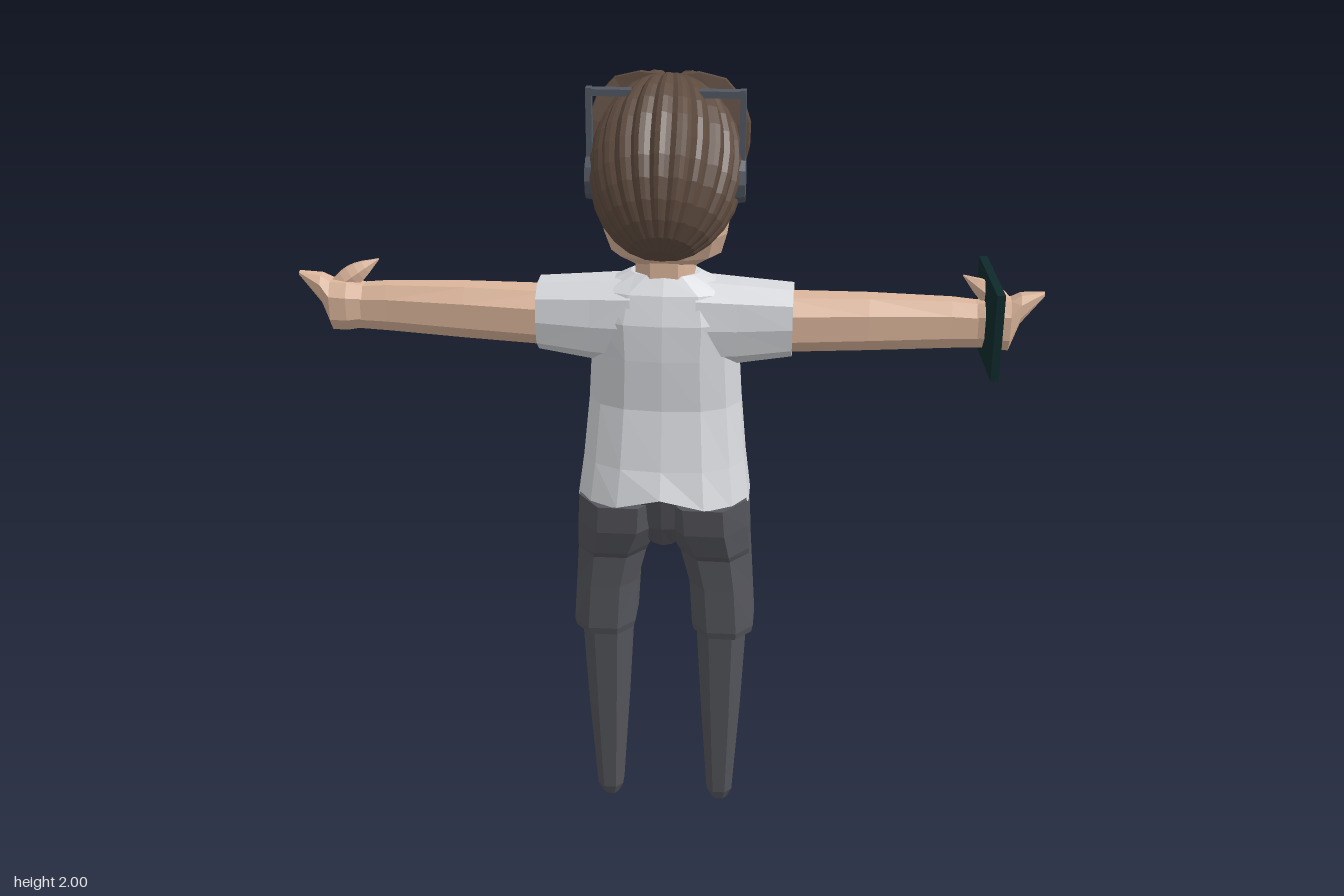
import * as THREE from 'three';

const mat = (name, color, extra = {}) => {
  const m = new THREE.MeshStandardMaterial({ color, flatShading: true, ...extra });
  m.name = name;
  return m;
};

// Closed skin through rings of points, wound outwards whatever the ring direction
function skin(rings) {
  const n = rings[0].length, tris = [];
  for (let i = 0; i < rings.length - 1; i++)
    for (let j = 0; j < n; j++) {
      const k = (j + 1) % n, a = rings[i][j], b = rings[i][k], c = rings[i + 1][k], d = rings[i + 1][j];
      tris.push([a, b, c], [a, c, d]);
    }
  const cap = (r, flip) => {
    const c = r.reduce((s, p) => s.add(p), new THREE.Vector3()).divideScalar(n);
    r.forEach((p, j) => tris.push(flip ? [c, r[(j + 1) % n], p] : [c, p, r[(j + 1) % n]]));
  };
  cap(rings[0], true);
  cap(rings[rings.length - 1], false);
  const o = rings[0][0];
  let volume = 0;
  for (const [a, b, c] of tris)
    volume += a.clone().sub(o).dot(b.clone().sub(o).cross(c.clone().sub(o)));
  const pts = tris.flatMap(([a, b, c]) => (volume < 0 ? [a, c, b] : [a, b, c]));
  const g = new THREE.BufferGeometry().setFromPoints(pts);
  g.computeVertexNormals();
  return g;
}

// Rings [position, min, max, minZ, maxZ] along the x or y axis
function loft(axis, specs, { n = 10, box = 0.85, side = 1, warp = null } = {}) {
  const pow = v => Math.sign(v) * Math.abs(v) ** box;
  return skin(specs.map(([t, a0, a1, z0, z1], i) => Array.from({ length: n }, (_, j) => {
    const w = ((j + 0.5) / n) * Math.PI * 2, fit = 1 / pow(Math.cos(Math.PI / n));
    const c = Math.max(-1, Math.min(1, pow(Math.cos(w)) * fit)), s = Math.max(-1, Math.min(1, pow(Math.sin(w)) * fit));
    const a = (a0 + a1) / 2 + c * (a1 - a0) / 2, z = (z0 + z1) / 2 + s * (z1 - z0) / 2;
    const p = axis === 'y' ? new THREE.Vector3(a * side, t, z) : new THREE.Vector3(t * side, a, z);
    if (warp) warp(p, i);
    return p;
  })));
}

// Tapered curved lock through a few points
function lock(points, width, thick, side = 1) {
  const curve = new THREE.CatmullRomCurve3(points.map(([x, y, z]) => new THREE.Vector3(x * side, y, z)));
  const { normals, binormals } = curve.computeFrenetFrames(7, false);
  return skin(Array.from({ length: 8 }, (_, i) => {
    const t = i / 7, k = Math.max(0.06, Math.sin(Math.PI * (0.22 + 0.78 * t)));
    return Array.from({ length: 6 }, (_, j) => curve.getPointAt(t)
      .addScaledVector(normals[i], Math.cos(j * Math.PI / 3) * thick * k)
      .addScaledVector(binormals[i], Math.sin(j * Math.PI / 3) * width * k));
  }));
}

// Ridged hair shell: strands run from the parting above the forehead to the nape
function hairShell() {
  const strands = 13, nu = strands * 4, nv = 14, pos = [], idx = [];
  const saw = [0, 0.045, 0.06, 0.035];
  for (let i = 0; i <= nu; i++)
    for (let j = 0; j <= nv; j++) {
      const u = (i / nu - 0.5) * Math.PI * 1.12, v = (j / nv) * Math.PI;
      const r = Math.sin(v) * (0.95 + saw[i % 4]), d = -Math.cos(v) * 0.235, n = Math.cos(u) * r * 0.21;
      pos.push(Math.sin(u) * r * 0.185, 1.775 - 0.766 * d + 0.643 * n, 0.643 * d + 0.766 * n);
      if (i < nu && j < nv) {
        const a = i * (nv + 1) + j, b = a + nv + 1;
        idx.push(a, a + 1, b, b, a + 1, b + 1);
      }
    }
  const g = new THREE.BufferGeometry();
  g.setAttribute('position', new THREE.Float32BufferAttribute(pos, 3));
  g.setIndex(idx);
  g.computeVertexNormals();
  return g;
}

export function createModel() {
  const root = new THREE.Group();
  const skinTone = mat('skin', 0xdcb69c), hair = mat('hair', 0x5e4b3f, { side: THREE.DoubleSide });
  const shirt = mat('shirt', 0xd6d8dc), trousers = mat('trousers', 0x55565c);
  const plastic = mat('headset grey', 0x525863), slate = mat('tablet', 0x0f2a2c), dark = mat('face dark', 0x35363e);
  const add = (name, geo, m, p = [0, 0, 0], parent = root) => {
    const mesh = new THREE.Mesh(geo, m);
    mesh.name = name;
    mesh.position.set(...p);
    parent.add(mesh);
    return mesh;
  };

  // Torso; the hem rises at the middle of the back
  add('shirt', loft('y', [
    [0.945, -0.218, 0.218, -0.1, 0.2], [1.05, -0.204, 0.204, -0.1, 0.17], [1.2, -0.19, 0.19, -0.1, 0.135],
    [1.33, -0.182, 0.182, -0.097, 0.135], [1.42, -0.19, 0.19, -0.085, 0.13], [1.49, -0.17, 0.17, -0.055, 0.105],
    [1.53, -0.085, 0.085, -0.035, 0.07],
  ], { n: 14, warp: (p, i) => { if (i === 0 && p.z > 0.12) p.y += 0.04 * Math.max(0, 1 - Math.abs(p.x) / 0.16); } }), shirt);
  add('neck', loft('y', [[1.47, -0.075, 0.075, -0.04, 0.075], [1.6, -0.07, 0.07, -0.05, 0.07]], { n: 8 }), skinTone);

  // Head
  add('head', loft('y', [
    [1.535, -0.07, 0.07, -0.15, 0.04], [1.575, -0.135, 0.135, -0.152, 0.085], [1.63, -0.15, 0.15, -0.142, 0.11],
    [1.75, -0.162, 0.162, -0.136, 0.12], [1.86, -0.155, 0.155, -0.135, 0.1], [1.93, -0.1, 0.1, -0.12, 0.05],
  ], { n: 12, box: 0.75 }), skinTone);
  add('hair', hairShell(), hair);
  const fringe = [
    [[[0.01, 1.94, -0.12], [0.05, 1.96, -0.19], [0.1, 1.92, -0.205], [0.135, 1.8, -0.175]], 0.035, 0.014],
    [[[0.01, 1.95, -0.11], [0.08, 1.95, -0.15], [0.135, 1.89, -0.14], [0.16, 1.77, -0.1]], 0.045, 0.018],
    [[[0, 1.95, -0.12], [0.03, 1.92, -0.165], [0.055, 1.87, -0.165], [0.08, 1.81, -0.15]], 0.04, 0.018],
    [[[0.02, 1.96, -0.09], [0.11, 1.94, -0.1], [0.16, 1.87, -0.075], [0.172, 1.73, -0.035]], 0.05, 0.02],
  ];
  add('forelock', lock([[0, 1.95, -0.12], [-0.01, 1.93, -0.17], [-0.02, 1.88, -0.17], [-0.03, 1.83, -0.15]], 0.045, 0.015), hair);

  // Headset
  const headset = new THREE.Group();
  headset.name = 'headset';
  root.add(headset);
  add('headband', new THREE.BoxGeometry(0.376, 0.016, 0.03), plastic, [0, 1.965, 0.015], headset);
  const mic = add('microphone', new THREE.CylinderGeometry(0.01, 0.01, 0.07, 6), plastic, [-0.115, 1.69, -0.143], headset);
  mic.quaternion.setFromUnitVectors(new THREE.Vector3(0, 1, 0), new THREE.Vector3(-0.85, -0.05, -0.52).normalize());

  for (const s of [1, -1]) {
    const label = s > 0 ? 'left' : 'right';
    fringe.forEach(([pts, w, t], i) => add(`${label}Fringe${i + 1}`, lock(pts, w, t, s), hair));
    add(`${label}BandArm`, new THREE.BoxGeometry(0.014, 0.18, 0.026), plastic, [s * 0.183, 1.885, 0.015], headset);
    const cup = add(`${label}EarCup`, new THREE.CylinderGeometry(0.044, 0.048, 0.035, 10), plastic, [s * 0.174, 1.76, 0.02], headset);
    cup.rotation.z = -s * Math.PI / 2;
    cup.scale.x = 1.2;

    // Face marks
    add(`${label}Eye`, new THREE.BoxGeometry(0.02, 0.045, 0.009), dark, [s * 0.078, 1.725, -0.138]);
    const brow = add(`${label}Brow`, new THREE.BoxGeometry(0.062, 0.018, 0.009), dark, [s * 0.08, 1.785, -0.137]);
    brow.rotation.z = -s * 0.12;

    // Sleeve, arm and hand
    add(`${label}Sleeve`, loft('x', [
      [0.08, 1.3, 1.515, -0.075, 0.12], [0.18, 1.305, 1.508, -0.065, 0.11],
      [0.315, 1.325, 1.497, -0.062, 0.1], [0.311, 1.345, 1.475, -0.045, 0.08],
    ], { side: s }), shirt);
    add(`${label}Arm`, loft('x', [
      [0.28, 1.335, 1.475, -0.052, 0.085], [0.5, 1.343, 1.476, -0.045, 0.068],
      [0.7, 1.352, 1.472, -0.034, 0.05], [0.78, 1.355, 1.465, -0.03, 0.045],
    ], { n: 8, side: s }), skinTone);
    add(`${label}Hand`, loft('x', [
      [0.75, 1.36, 1.465, -0.028, 0.042], [0.8, 1.352, 1.475, -0.036, 0.055], [0.842, 1.352, 1.478, -0.03, 0.055],
      [0.865, 1.42, 1.492, -0.018, 0.045], [0.92, 1.488, 1.5, 0.008, 0.024],
    ], { n: 8, side: s }), skinTone);
    add(`${label}Thumb`, lock([[0.84, 1.45, 0.005], [0.79, 1.485, -0.005], [0.725, 1.525, -0.018]], 0.03, 0.025, s), skinTone);

    // Knee-length leg of the trousers, then the tapered lower leg
    add(`${label}UpperLeg`, loft('y', [
      [0.555, 0.08, 0.232, -0.05, 0.132], [0.575, 0.075, 0.236, -0.056, 0.137], [0.7, 0.068, 0.228, -0.065, 0.138],
      [0.79, 0.045, 0.222, -0.075, 0.142], [0.81, 0.038, 0.221, -0.078, 0.158],
      [0.88, 0.004, 0.218, -0.09, 0.18], [0.955, 0, 0.213, -0.095, 0.188],
    ], { n: 8, side: s }), trousers);
    add(`${label}LowerLeg`, loft('y', [
      [0, 0.13, 0.172, 0.015, 0.065], [0.03, 0.117, 0.186, 0.003, 0.077],
      [0.3, 0.1, 0.204, -0.025, 0.097], [0.58, 0.085, 0.218, -0.045, 0.115],
    ], { n: 8, side: s }), trousers);
  }
  add('hips', loft('y', [
    [0.815, -0.035, 0.035, -0.05, 0.11], [0.88, -0.13, 0.13, -0.08, 0.15], [0.985, -0.205, 0.205, -0.092, 0.175],
  ]), trousers);

  // Tablet around the left hand
  add('tablet', new THREE.BoxGeometry(0.02, 0.215, 0.295), slate, [0.79, 1.435, 0.03]).rotation.y = 0.07;
  return root;
}
